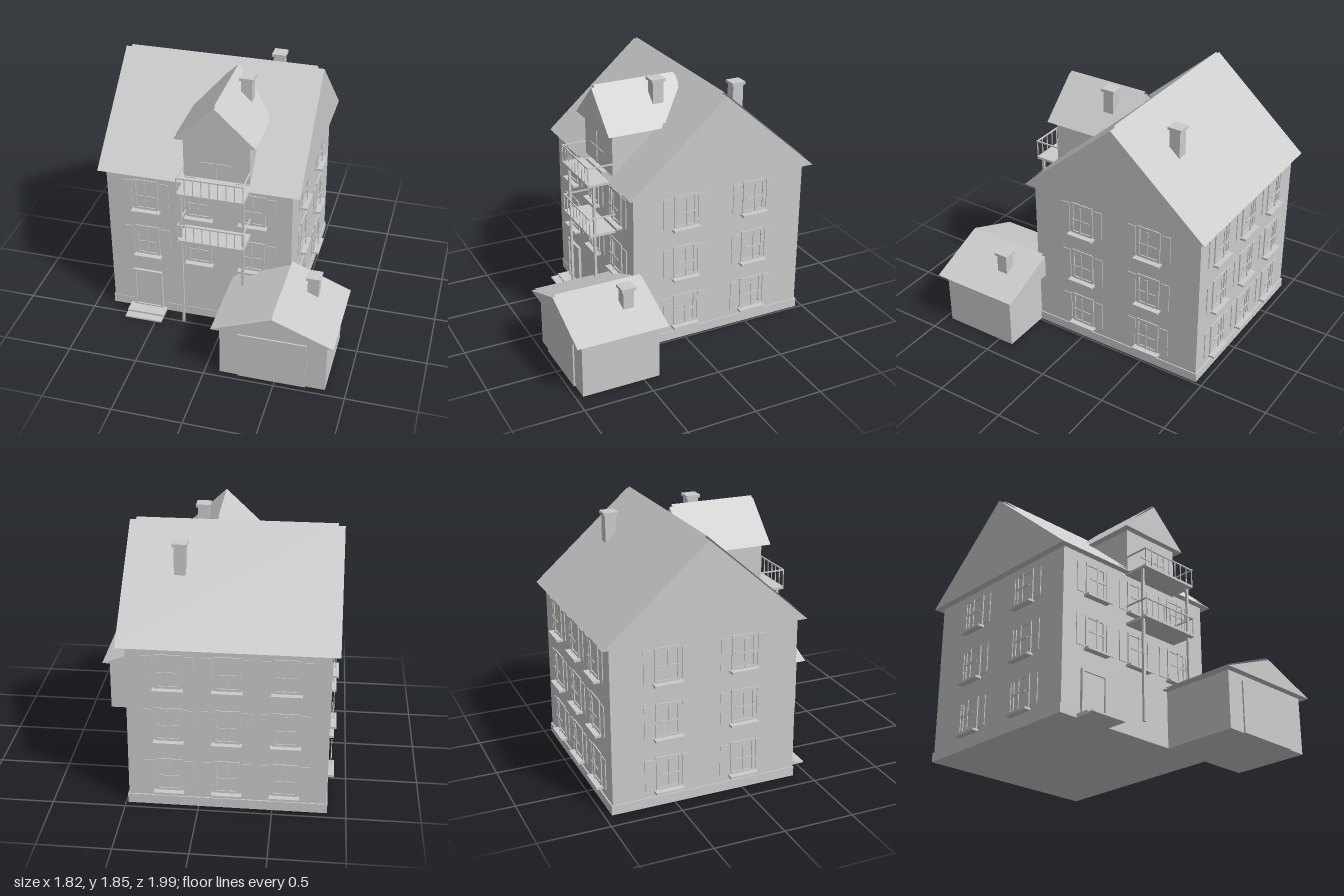
import * as THREE from 'three';

export function createModel() {
  const model = new THREE.Group();
  model.name = 'house';
  const plaster = new THREE.MeshStandardMaterial({ color: 0xcccccc, side: THREE.DoubleSide });
  plaster.name = 'pale grey';

  const add = (parent, name, geometry) => {
    const mesh = new THREE.Mesh(geometry, plaster);
    mesh.name = name;
    parent.add(mesh);
    return mesh;
  };
  // Box given by its limits on each axis
  const box = (parent, name, x0, x1, y0, y1, z0, z1) => {
    const mesh = add(parent, name, new THREE.BoxGeometry(x1 - x0, y1 - y0, z1 - z0));
    mesh.position.set((x0 + x1) / 2, (y0 + y1) / 2, (z0 + z1) / 2);
    return mesh;
  };
  const group = (name) => {
    const g = new THREE.Group();
    g.name = name;
    model.add(g);
    return g;
  };
  // Rectangular frame with an opening
  const frame = (parent, name, w, h, border, depth) => {
    const shape = new THREE.Shape();
    shape.moveTo(-w / 2, -h / 2).lineTo(w / 2, -h / 2).lineTo(w / 2, h / 2).lineTo(-w / 2, h / 2);
    const a = w / 2 - border, b = h / 2 - border, hole = new THREE.Path();
    hole.moveTo(-a, -b).lineTo(-a, b).lineTo(a, b).lineTo(a, -b);
    shape.holes.push(hole);
    return add(parent, name, new THREE.ExtrudeGeometry(shape, { depth, bevelEnabled: false }));
  };
  // Solid gable with its ridge along local z, and a thin covering just above it
  const gableRoof = (name, half, y0, y1, length, cover) => {
    const g = group(name);
    const shape = new THREE.Shape();
    shape.moveTo(-half, y0).lineTo(half, y0).lineTo(0, y1);
    const solid = new THREE.ExtrudeGeometry(shape, { depth: length, bevelEnabled: false });
    add(g, 'roofBody', solid.translate(0, 0, -length / 2));
    const [ch, c0, c1, cl] = cover;
    for (const s of [-1, 1]) {
      const a = [s * ch, c0, s * cl / 2], b = [s * ch, c0, -s * cl / 2];
      const c = [0, c1, -s * cl / 2], d = [0, c1, s * cl / 2];
      const slope = new THREE.BufferGeometry();
      slope.setAttribute('position', new THREE.Float32BufferAttribute([a, b, c, a, c, d].flat(), 3));
      slope.computeVertexNormals();
      add(g, 'roofCovering', slope);
    }
    return g;
  };

  // Main house
  const X0 = -0.865, X1 = 0.478, Z0 = -0.94, Z1 = 0.396;
  box(model, 'mainWalls', X0, X1, 0, 1.19, Z0, Z1);
  box(model, 'plinth', X0 - 0.008, X1 + 0.008, 0, 0.068, Z0 - 0.01, Z1 + 0.004);
  const mainRoof = gableRoof('mainRoof', 0.7175, 1.187, 1.816, 1.45, [0.69, 1.224, 1.834, 1.36]);
  mainRoof.rotation.y = Math.PI / 2;
  mainRoof.position.set(-0.19, 0, -0.2745);

  // Dormer
  box(model, 'dormerWalls', -0.29, 0.179, 1.19, 1.54, 0, 0.41);
  gableRoof('dormerRoof', 0.285, 1.537, 1.804, 0.64, [0.272, 1.568, 1.824, 0.61]).position.set(-0.056, 0, 0.135);

  // Windows with cross bars, shutters and sill, facing local +z
  const makeWindow = (x, y, z, turn) => {
    const g = group('window');
    frame(g, 'windowFrame', 0.176, 0.245, 0.018, 0.008);
    box(g, 'verticalBar', -0.006, 0.006, -0.108, 0.108, 0.022, 0.028);
    box(g, 'horizontalBar', -0.07, 0.07, -0.006, 0.006, 0.022, 0.028);
    box(g, 'sill', -0.102, 0.102, -0.138, -0.121, 0, 0.048);
    for (const s of [-1, 1]) box(g, 'shutter', s * 0.135 - 0.032, s * 0.135 + 0.032, -0.11, 0.11, 0, 0.006);
    g.position.set(x, y, z);
    g.rotation.y = turn;
  };
  const rows = [0.235, 0.62, 1.01];
  for (const y of rows) {
    for (const x of [-0.58, -0.19, 0.2]) {
      if (y > 0.5) makeWindow(x, y, Z1, 0);
      makeWindow(x, y, Z0, Math.PI);
    }
    for (const z of [0, -0.545]) {
      makeWindow(X1, y, z, Math.PI / 2);
      makeWindow(X0, y, z, -Math.PI / 2);
    }
  }

  // Dormer window: cross bars and sill
  box(model, 'dormerVerticalBar', -0.062, -0.05, 1.24, 1.48, 0.422, 0.428);
  box(model, 'dormerHorizontalBar', -0.171, 0.059, 1.354, 1.366, 0.422, 0.428);
  box(model, 'dormerSill', -0.197, 0.083, 1.213, 1.228, 0.405, 0.447);

  // Balconies on two posts
  for (const y of [0.79, 1.175]) {
    const g = group('balcony');
    box(g, 'balconyFloor', -0.293, 0.182, y, y + 0.018, 0.39, 0.595);
    box(g, 'frontRail', -0.293, 0.182, y + 0.138, y + 0.147, 0.587, 0.596);
    for (const x of [-0.293, 0.173]) box(g, 'sideRail', x, x + 0.009, y + 0.138, y + 0.147, 0.39, 0.59);
    for (let i = 0; i <= 8; i++) {
      const x = -0.289 + i * 0.0583;
      box(g, 'baluster', x - 0.003, x + 0.003, y + 0.01, y + 0.142, 0.588, 0.594);
    }
  }
  for (const x of [-0.278, 0.167]) box(model, 'balconyPost', x - 0.009, x + 0.009, 0.052, 1.18, 0.54, 0.558);

  // Front door and steps
  const door = frame(model, 'doorFrame', 0.22, 0.33, 0.018, 0.02);
  door.position.set(-0.593, 0.183, Z1);
  box(model, 'doorLeaf', -0.685, -0.501, 0.02, 0.335, Z1, Z1 + 0.009);
  box(model, 'lowerStep', -0.734, -0.455, 0, 0.012, 0.39, 0.557);
  box(model, 'upperStep', -0.734, -0.455, 0.01, 0.026, 0.39, 0.5);

  // Garage
  box(model, 'garageWalls', 0.105, 0.855, 0, 0.415, 0.385, 0.95);
  box(model, 'garageDoor', 0.238, 0.718, 0, 0.367, 0.945, 0.961);
  gableRoof('garageRoof', 0.425, 0.41, 0.578, 0.662, [0.405, 0.431, 0.597, 0.63]).position.set(0.48, 0, 0.667);

  // Chimneys: stem and wider cap
  for (const [x, y0, y1, z] of [[0.677, 0.49, 0.656, 0.545], [0.065, 1.67, 1.85, 0.025], [0.157, 1.5, 1.766, -0.557]]) {
    const g = group('chimney');
    box(g, 'chimneyStem', x - 0.039, x + 0.039, y0, y1 - 0.01, z - 0.04, z + 0.04);
    box(g, 'chimneyCap', x - 0.05, x + 0.05, y1 - 0.02, y1, z - 0.052, z + 0.052);
  }
  return model;
}
